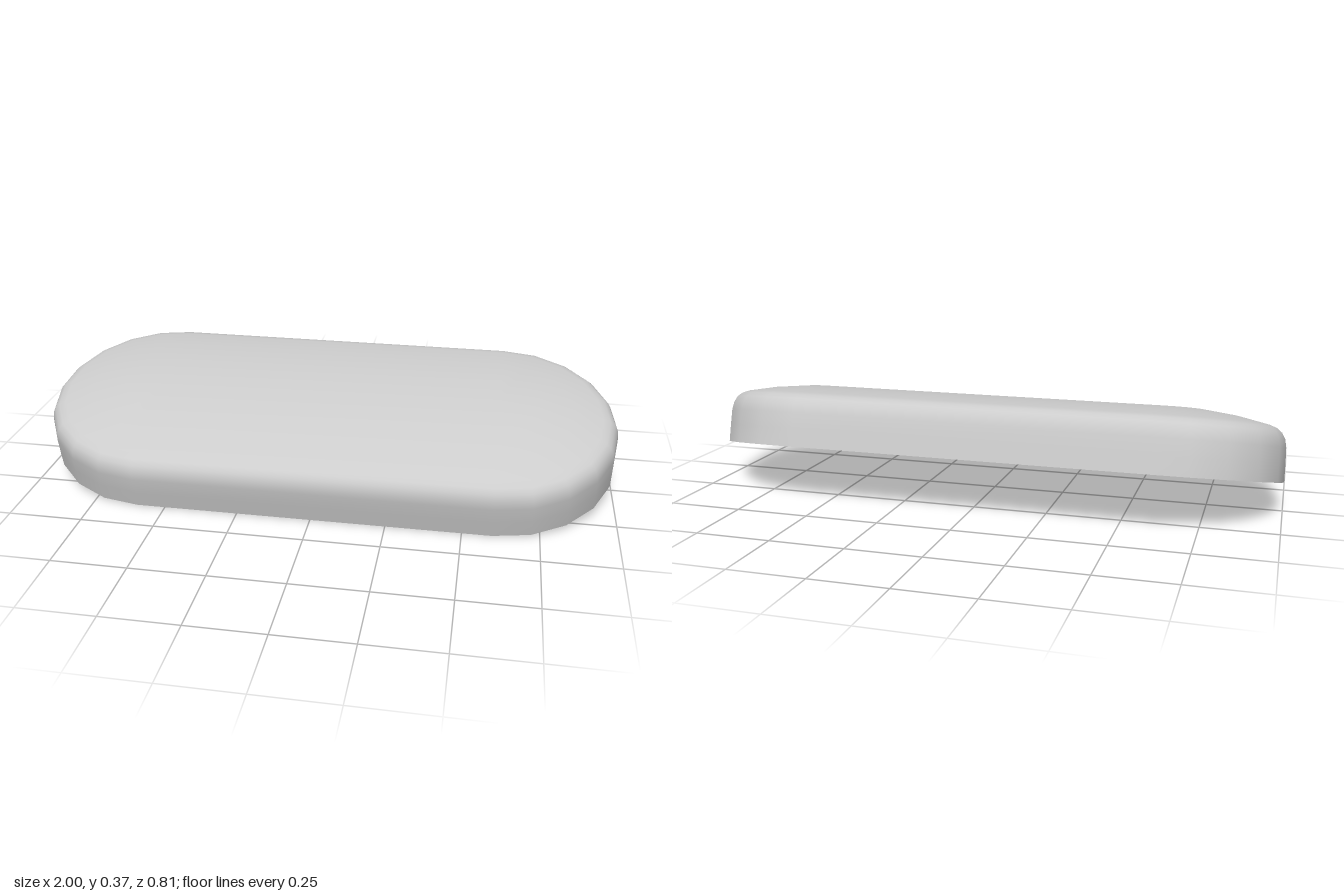
import * as THREE from 'three';
import { mergeVertices } from 'three/addons/utils/BufferGeometryUtils.js';

const SPINE = 0.597;  // half length of the straight sides
const ARC = 10;       // segments in each rounded end
const TILT = 0.257;   // forward lean in radians

// Wall, rounded shoulder and shallow crown: [distance from spine, height]
const PROFILE = [
  [0.403, 0], [0.403, 0.06], [0.402, 0.115], [0.397, 0.143], [0.386, 0.164], [0.37, 0.178],
  [0.345, 0.188], [0.25, 0.209], [0.13, 0.225], [0, 0.23],
];

// Pill-shaped loop at a given distance from the spine
function pillLoop(r, y) {
  const points = [];
  for (const side of [1, -1]) {
    for (let i = 0; i <= ARC; i++) {
      const a = -Math.PI / 2 + (Math.PI * i) / ARC;
      points.push(side * (SPINE + r * Math.cos(a)), y, side * r * Math.sin(a));
    }
  }
  return points;
}

// Open-bottomed shell made by joining the loops
function shellGeometry() {
  const count = 2 * (ARC + 1);
  const positions = PROFILE.flatMap(([r, y]) => pillLoop(r, y));
  const index = [];
  for (let k = 0; k < PROFILE.length - 1; k++) {
    for (let j = 0; j < count; j++) {
      const a = k * count + j;
      const b = k * count + ((j + 1) % count);
      index.push(a, a + count, b, b, a + count, b + count);
    }
  }
  let geometry = new THREE.BufferGeometry();
  geometry.setAttribute('position', new THREE.Float32BufferAttribute(positions, 3));
  geometry.setIndex(index);
  geometry = mergeVertices(geometry, 1e-5);
  geometry.computeVertexNormals();
  return geometry;
}

export function createModel() {
  const group = new THREE.Group();
  group.name = 'keycap';
  const material = new THREE.MeshStandardMaterial({ color: 0xcccccc, side: THREE.DoubleSide });
  const shell = new THREE.Mesh(shellGeometry(), material);
  shell.name = 'shell';
  shell.rotation.x = TILT;
  shell.position.set(0, 0.403 * Math.sin(TILT), -0.015);
  group.add(shell);
  return group;
}
